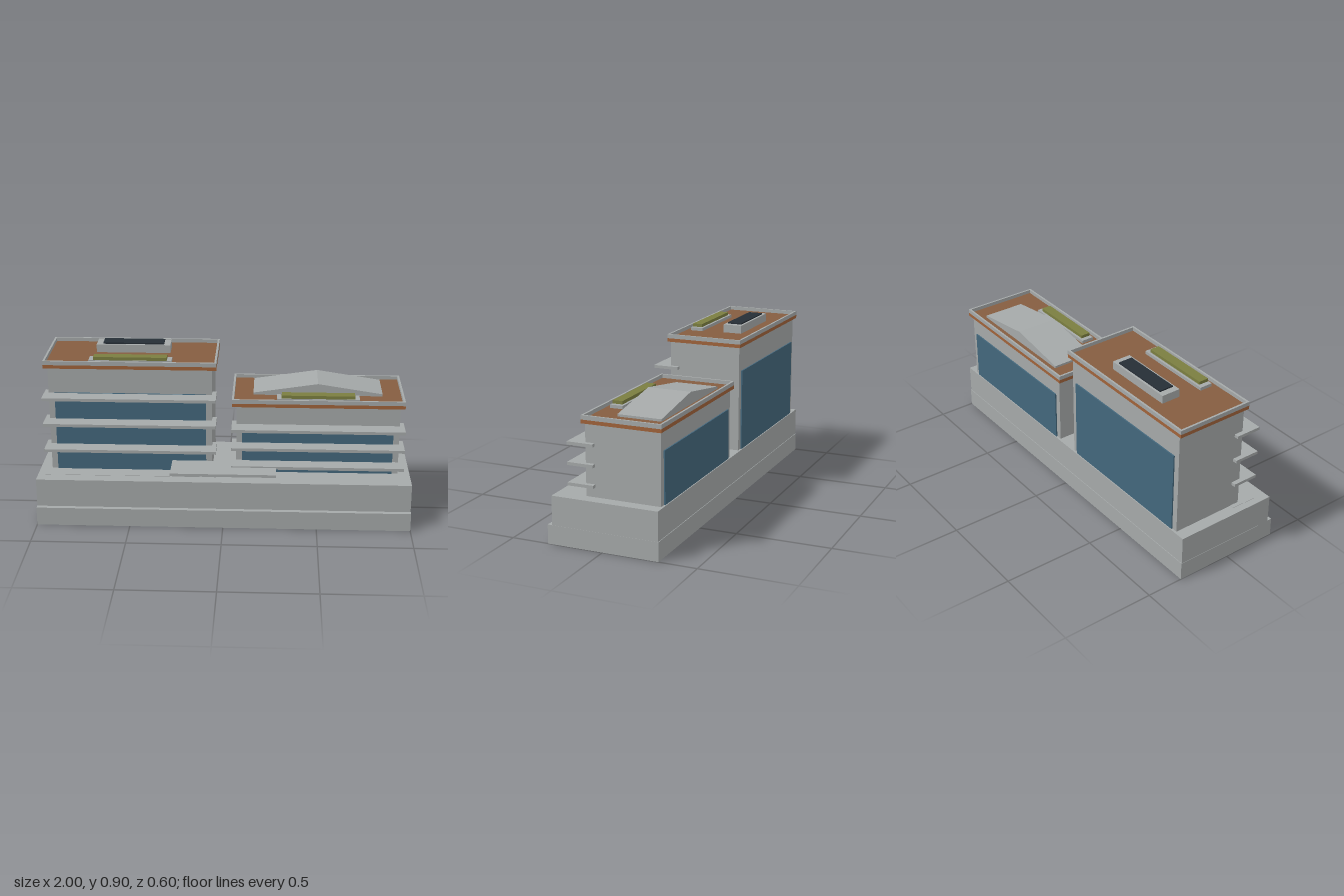
import * as THREE from 'three';

const paint = (name, color) => {
  const m = new THREE.MeshStandardMaterial({ color });
  m.name = name;
  return m;
};

export function createModel() {
  const concrete = paint('concrete', 0xa5a9a9);
  const wood = paint('wood', 0xa0633a);
  const deck = paint('roofDeck', 0x855d40);
  const glass = paint('glass', 0x43677c);
  const grass = paint('grass', 0x7b7e40);
  const panel = paint('darkPanel', 0x262e36);

  const model = new THREE.Group();
  model.name = 'twinTowerBuilding';

  // Box given by its limits on each axis
  const box = (parent, name, mat, [x0, x1], [y0, y1], [z0, z1]) => {
    const mesh = new THREE.Mesh(new THREE.BoxGeometry(x1 - x0, y1 - y0, z1 - z0), mat);
    mesh.position.set((x0 + x1) / 2, (y0 + y1) / 2, (z0 + z1) / 2);
    mesh.name = name;
    parent.add(mesh);
  };

  // Stepped podium and entrance canopy
  box(model, 'plinth', concrete, [-1, 1], [0, 0.1], [-0.3, 0.3]);
  box(model, 'podium', concrete, [-0.999, 0.999], [0.1, 0.253], [-0.297, 0.275]);
  box(model, 'entranceCanopy', concrete, [-0.28, 0.28], [0.297, 0.312], [0.12, 0.3]);

  // One tower: walls, windows, sunshades, cornice, parapet and roof planter
  const tower = (name, cx, wallTop, windowTop, shadeTops) => {
    const g = new THREE.Group();
    g.name = name;
    g.position.x = cx;
    model.add(g);
    const deckY = wallTop + 0.019, top = wallTop + 0.041;
    box(g, 'walls', concrete, [-0.435, 0.435], [0.253, wallTop], [-0.285, 0.115]);
    box(g, 'frontWindow', glass, [-0.403, 0.403], [0.253, windowTop], [0.115, 0.12]);
    box(g, 'backWindow', glass, [-0.403, 0.403], [0.253, windowTop], [-0.292, -0.285]);
    for (const y of shadeTops)
      box(g, 'sunshade', concrete, [-0.459, 0.459], [y - 0.016, y], [0.065, 0.205]);
    box(g, 'cornice', wood, [-0.459, 0.459], [wallTop, deckY], [-0.299, 0.125]);
    box(g, 'roofDeck', deck, [-0.45, 0.45], [deckY, deckY + 0.002], [-0.29, 0.116]);

    // Parapet ring
    const rect = (P, x, z0, z1) => {
      const p = new P();
      p.moveTo(-x, z0).lineTo(x, z0).lineTo(x, z1).lineTo(-x, z1).closePath();
      return p;
    };
    const ring = rect(THREE.Shape, 0.459, -0.125, 0.299);
    ring.holes.push(rect(THREE.Path, 0.448, -0.114, 0.288));
    const geo = new THREE.ExtrudeGeometry(ring, { depth: top - deckY, bevelEnabled: false });
    geo.rotateX(-Math.PI / 2);
    const parapet = new THREE.Mesh(geo, concrete);
    parapet.position.y = deckY;
    parapet.name = 'parapet';
    g.add(parapet);

    box(g, 'planter', concrete, [-0.22, 0.22], [deckY, top - 0.003], [0.02, 0.09]);
    box(g, 'planterGrass', grass, [-0.195, 0.195], [top - 0.003, top + 0.014], [0.033, 0.087]);
    return g;
  };

  const tall = tower('tallTower', -0.5, 0.828, 0.692, [0.69, 0.545, 0.4, 0.2545]);
  const low = tower('lowTower', 0.5, 0.626, 0.526, [0.527, 0.423, 0.319]);
  low.children.forEach((c) => { c.castShadow = true; });

  // Rooftop skylight on the tall tower
  box(tall, 'skylightBase', concrete, [-0.2, 0.2], [0.847, 0.893], [-0.203, -0.098]);
  box(tall, 'skylightPanel', panel, [-0.165, 0.165], [0.893, 0.9], [-0.191, -0.111]);

  // Shallow gabled roof on the low tower
  const gable = new THREE.Shape();
  gable.moveTo(-0.347, 0.645).lineTo(0.347, 0.645).lineTo(0.347, 0.659)
    .lineTo(0, 0.712).lineTo(-0.347, 0.659).closePath();
  const gableRoof = new THREE.Mesh(
    new THREE.ExtrudeGeometry(gable, { depth: 0.234, bevelEnabled: false }), concrete);
  gableRoof.position.z = -0.249;
  gableRoof.name = 'gableRoof';
  low.add(gableRoof);

  return model;
}
